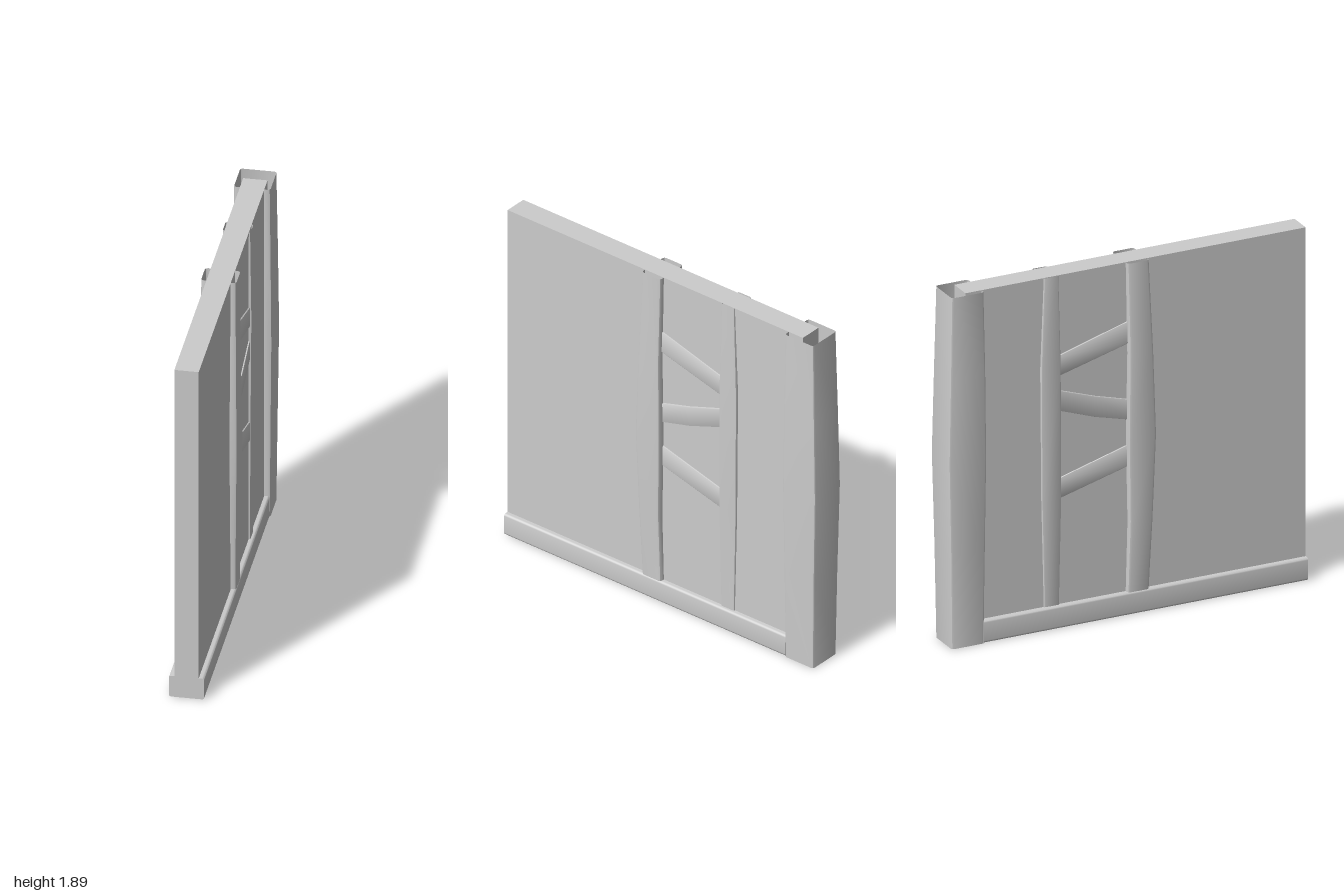
import * as THREE from 'three';
import { toCreasedNormals } from 'three/addons/utils/BufferGeometryUtils.js';

const plaster = new THREE.MeshStandardMaterial({ color: 0xcccccc, side: THREE.DoubleSide });
plaster.name = 'plain grey';

const HEIGHT = 1.89, WALL = 0.0615, RAIL_TOP = 0.12;

// Joins equal-length rows of [x, y, z] points into an open skin
function loft(rows, flip) {
  const n = rows[0].length, index = [];
  for (let i = 0; i < rows.length - 1; i++) {
    for (let j = 0; j < n - 1; j++) {
      const a = i * n + j, b = a + 1, c = a + n, d = c + 1;
      index.push(...(flip ? [a, b, c, b, d, c] : [a, c, b, b, c, d]));
    }
  }
  const g = new THREE.BufferGeometry();
  g.setAttribute('position', new THREE.Float32BufferAttribute(rows.flat(2), 3));
  g.setIndex(index);
  return toCreasedNormals(g, 0.6);
}

// Bevelled cross-section of a timber standing out from the wall: [outward, across]
function section(out, a, b, r) {
  return [[WALL - 0.005, b], [out - r, b], [out - r * 0.3, b - r * 0.3], [out, b - r],
    [out, a + r], [out - r * 0.3, a + r * 0.3], [out - r, a], [WALL - 0.005, a]];
}

// Upright timber; stations are [y, zMin, zMax, out]
function upright(stations, r, side) {
  return loft(stations.map(([y, a, b, out]) =>
    section(out, a, b, r).map(([x, z]) => [x * side, y, z])), side < 0);
}

// Sloping timber; stations are [z, yMin, yMax]
function brace(stations, side) {
  return loft(stations.map(([z, a, b]) =>
    section(0.069, a, b, 0.005).map(([x, y]) => [x * side, y, z])), side < 0);
}

export function createModel() {
  const model = new THREE.Group();
  model.name = 'timberWall';
  const body = new THREE.Group();
  body.name = 'wallBody';
  body.position.x = -0.003;
  model.add(body);
  const add = (name, geometry) => {
    const mesh = new THREE.Mesh(geometry, plaster);
    mesh.name = name;
    body.add(mesh);
    return mesh;
  };

  // Flat wall slab
  add('wallPanel', new THREE.BoxGeometry(WALL * 2, HEIGHT, 1.89)).position.set(0, HEIGHT / 2, 0.055);

  // Sill with bevelled long edges
  const w = 0.089, r = 0.012;
  const sill = new THREE.Shape();
  sill.moveTo(-w + r, 0);
  sill.lineTo(w - r, 0);
  sill.quadraticCurveTo(w, 0, w, r);
  sill.lineTo(w, RAIL_TOP - r);
  sill.quadraticCurveTo(w, RAIL_TOP, w - r, RAIL_TOP);
  sill.lineTo(-w + r, RAIL_TOP);
  sill.quadraticCurveTo(-w, RAIL_TOP, -w, RAIL_TOP - r);
  sill.lineTo(-w, r);
  sill.quadraticCurveTo(-w, 0, -w + r, 0);
  const sillGeometry = new THREE.ExtrudeGeometry(sill, { depth: 1.8, bevelEnabled: false, curveSegments: 3 });
  add('sill', toCreasedNormals(sillGeometry, 0.6)).position.z = -0.8;

  // Uprights and braces on both faces
  const mainPost = [[RAIL_TOP, 0, 0.12, 0.089], [0.5, 0.01, 0.139, 0.094], [0.95, 0.001, 0.155, 0.101],
    [1.4, 0.009, 0.142, 0.095], [HEIGHT, 0, 0.12, 0.089]];
  const slimPost = [[RAIL_TOP, -0.455, -0.372, 0.07], [0.7, -0.469, -0.361, 0.074],
    [1.4, -0.475, -0.366, 0.078], [HEIGHT, -0.455, -0.375, 0.07]];
  const braces = {
    upperBrace: [[0.02, 1.455, 1.575], [-0.38, 1.347, 1.457]],
    middleBrace: [[0.02, 1.04, 1.15], [-0.17, 1.09, 1.203], [-0.38, 1.165, 1.275]],
    lowerBrace: [[0.02, 0.795, 0.91], [-0.38, 0.687, 0.797]],
  };
  for (const side of [1, -1]) {
    const label = side > 0 ? 'left' : 'right';
    add(label + 'MainPost', upright(mainPost, 0.014, side));
    add(label + 'SlimPost', upright(slimPost, 0.007, side));
    for (const [name, stations] of Object.entries(braces)) add(label + '_' + name, brace(stations, side));
  }

  // Hollow corner post wrapped round the end of the wall: [y, half width, front z, back z]
  const corner = [[0, 0.092, -0.8, -0.98], [0.5, 0.097, -0.795, -0.988], [1, 0.102, -0.79, -1],
    [1.45, 0.098, -0.793, -0.99], [HEIGHT, 0.092, -0.8, -0.98]];
  const c = 0.012;
  add('cornerPost', loft(corner.map(([y, h, f, b]) => {
    const half = [[WALL - 0.005, f], [h - c, f], [h - c * 0.3, f - c * 0.3], [h, f - c],
      [h, b + c], [h - c * 0.3, b + c * 0.3], [h - c, b]];
    const mirrored = half.map(([x, z]) => [-x, z]).reverse();
    return [...half, ...mirrored].map(([x, z]) => [x, y, z]);
  }), false));

  return model;
}
